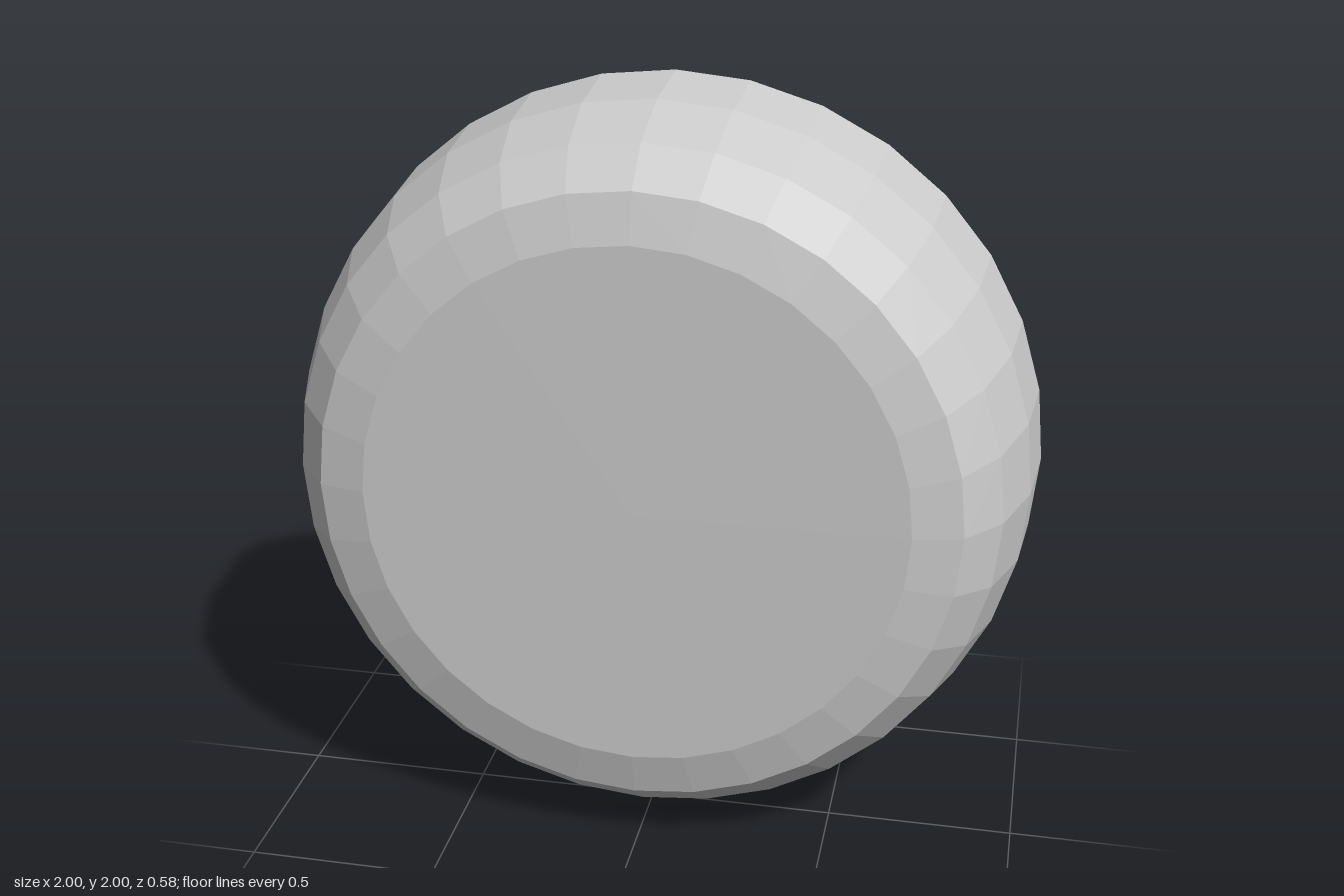
import * as THREE from 'three';

const SIDES = 32;

// Turns [radius, z] points around the z axis; points run from back to front for outward faces.
function turned(name, points, material) {
  const profile = points.map(([r, z]) => new THREE.Vector2(r, z));
  const geometry = new THREE.LatheGeometry(profile, SIDES);
  geometry.rotateX(Math.PI / 2);
  const mesh = new THREE.Mesh(geometry, material);
  mesh.name = name;
  return mesh;
}

export function createModel() {
  const group = new THREE.Group();
  group.name = 'roundCap';
  const material = new THREE.MeshStandardMaterial({ color: 0xcccccc, flatShading: true });

  // Rounded outside wall with a shallow bevel around the flat face
  group.add(turned('outerShell', [
    [1, -0.29], [0.98, -0.05], [0.92, 0.145], [0.83, 0.255], [0.705, 0.287], [0, 0.29],
  ], material));

  // Hollow inside, running from the floor back to the opening
  group.add(turned('innerShell', [
    [0, 0.237], [0.738, 0.235], [0.8, 0.2], [0.86, 0.12], [0.9, -0.05], [0.923, -0.29],
  ], material));

  // Flat lip around the opening
  group.add(turned('rim', [[0.923, -0.29], [1, -0.29]], material));

  group.position.y = 1;
  const model = new THREE.Group();
  model.add(group);
  return model;
}
